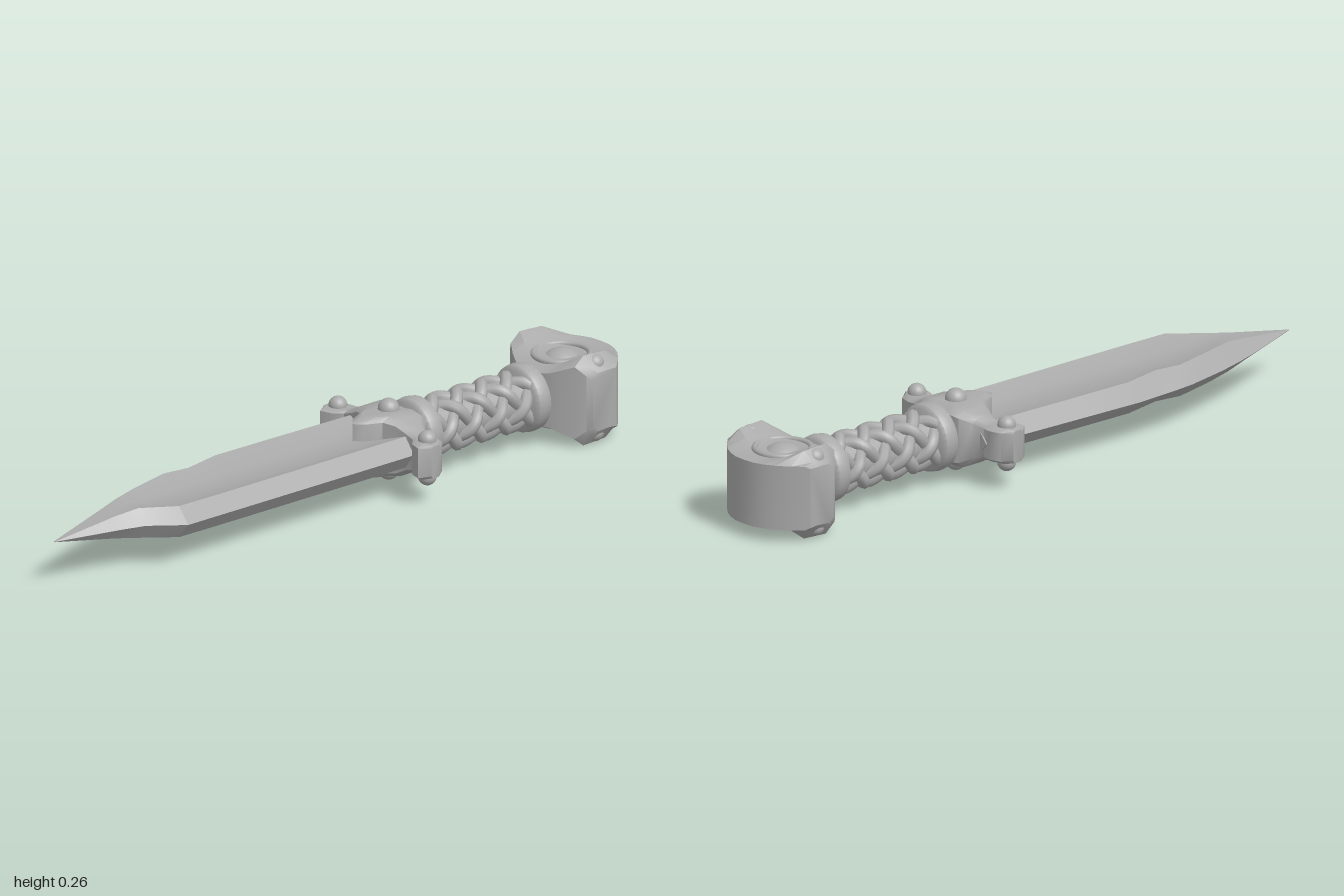
import * as THREE from 'three';
import { toCreasedNormals } from 'three/addons/utils/BufferGeometryUtils.js';

const MID = 0.13; // height of the dagger's axis

// Skin a series of rings, each counter-clockwise seen from the far end
function loft(rings, crease) {
  const n = rings[0].length, last = (rings.length - 1) * n, index = [];
  for (let i = 0; i < rings.length - 1; i++) {
    for (let j = 0; j < n; j++) {
      const a = i * n + j, b = i * n + (j + 1) % n;
      index.push(a, b, a + n, b, b + n, a + n);
    }
  }
  for (let j = 1; j < n - 1; j++) {
    index.push(0, j + 1, j, last, last + j, last + j + 1);
  }
  const g = new THREE.BufferGeometry();
  g.setAttribute('position', new THREE.Float32BufferAttribute(rings.flat(2), 3));
  g.setIndex(index);
  return toCreasedNormals(g, crease);
}

// Mirror half-profile rows [x, ...] onto the -x side
const mirrorRows = rows => [
  ...rows.slice(1).reverse().map(([x, ...r]) => [-x, ...r]), ...rows,
];

// Ring in the y-z plane from an upper outline running from back to front
const ringAtX = (x, upper) => [
  ...upper.map(([z, y]) => [x, MID + y, z]),
  ...[...upper].reverse().map(([z, y]) => [x, MID - y, z]),
];

class BraidCurve extends THREE.Curve {
  constructor(start, dir) {
    super();
    this.start = start;
    this.dir = dir;
  }
  getPoint(t, target = new THREE.Vector3()) {
    const turn = t * Math.PI * 2;
    const a = this.start + this.dir * turn;
    const r = 0.063 + this.dir * 0.009 * Math.cos(4 * turn);
    return target.set(r * Math.cos(a), MID + r * Math.sin(a), -0.695 + 0.36 * t);
  }
}

export function createModel() {
  const model = new THREE.Group();
  const steel = new THREE.MeshStandardMaterial({ color: 0xaaaaaa });
  steel.name = 'grey steel';
  const add = (name, geometry, x = 0, y = 0, z = 0) => {
    const mesh = new THREE.Mesh(geometry, steel);
    mesh.name = name;
    mesh.position.set(x, y, z);
    model.add(mesh);
    return mesh;
  };

  // Blade: z, left edge, left ridge, groove left, groove right, right ridge, right edge, half thickness, groove depth
  const blade = [
    [-0.25, -0.155, -0.115, -0.045, 0.045, 0.110, 0.145, 0.045, 0.020],
    [0.10, -0.168, -0.122, -0.040, 0.045, 0.110, 0.145, 0.045, 0.020],
    [0.30, -0.175, -0.125, -0.038, 0.042, 0.110, 0.145, 0.045, 0.020],
    [0.42, -0.168, -0.100, -0.035, 0.040, 0.110, 0.145, 0.045, 0.020],
    [0.50, -0.160, -0.112, -0.032, 0.038, 0.110, 0.145, 0.045, 0.019],
    [0.64, -0.130, -0.078, -0.026, 0.030, 0.108, 0.145, 0.045, 0.015],
    [0.73, -0.104, -0.052, -0.015, 0.015, 0.042, 0.073, 0.043, 0.004],
    [0.80, -0.080, -0.038, -0.010, 0.010, 0.026, 0.052, 0.032, 0],
    [1.00, -0.001, -0.001, 0, 0, 0.001, 0.001, 0.001, 0],
  ].map(([z, xl, rl, gl, gr, rr, xr, h, d]) => {
    const top = [[rr, h], [gr, h - d], [gl, h - d], [rl, h]];
    return [
      [xr, MID, z], ...top.map(([x, y]) => [x, MID + y, z]),
      [xl, MID, z], ...top.reverse().map(([x, y]) => [x, MID - y, z]),
    ];
  });
  add('blade', loft(blade, 0.5));

  // Guard: x, back z, front z, half height
  const guard = mirrorRows([
    [0, -0.290, -0.090, 0.087], [0.028, -0.290, -0.115, 0.087],
    [0.045, -0.290, -0.160, 0.086], [0.080, -0.285, -0.175, 0.080],
    [0.110, -0.258, -0.185, 0.062], [0.140, -0.245, -0.185, 0.051],
    [0.165, -0.248, -0.160, 0.051], [0.200, -0.238, -0.150, 0.051],
    [0.222, -0.212, -0.180, 0.046],
  ]).map(([x, zb, zf, h]) => {
    const c = (zf - zb) * 0.18;
    return ringAtX(x, [[zb, h * 0.8], [zb + c, h], [zf - c, h], [zf, h * 0.85]]);
  });
  add('guard', loft(guard, 0.75));

  // Pommel: x, back z, front z, half height
  const pommel = mirrorRows([
    [0, -1.000, -0.730, 0.092], [0.035, -0.998, -0.735, 0.093],
    [0.065, -0.988, -0.745, 0.097], [0.095, -0.972, -0.760, 0.112],
    [0.130, -0.944, -0.785, 0.130], [0.155, -0.918, -0.805, 0.100],
    [0.166, -0.905, -0.820, 0.085],
  ]).map(([x, zb, zf, h]) => {
    const s = zf - zb;
    return ringAtX(x, [
      [zb, Math.min(h, 0.092)], [zb + s * 0.3, h * 0.97],
      [zf - s * 0.2, h], [zf, h * 0.8],
    ]);
  });
  add('pommel', loft(pommel, 0.6));

  // Domed inlay showing on both faces of the pommel, each inside a rim
  add('pommelDome', new THREE.SphereGeometry(1, 32, 24), 0, MID, -0.855)
    .scale.set(0.085, 0.107, 0.085);
  for (const s of [1, -1]) {
    const rim = add('domeRim', new THREE.TorusGeometry(0.078, 0.009, 8, 32), 0, MID + s * 0.092, -0.855);
    rim.rotation.x = Math.PI / 2;
  }

  // Studs, on both faces
  const bead = new THREE.SphereGeometry(1, 20, 14);
  for (const s of [1, -1]) {
    for (const side of [1, -1]) {
      add('guardStud', bead, side * 0.182, MID + s * 0.053, -0.2).scale.setScalar(0.026);
      add('pommelStud', bead, side * 0.13, MID + s * 0.099, -0.857).scale.setScalar(0.027);
    }
    add('guardCentreStud', bead, 0, MID + s * 0.087, -0.222).scale.setScalar(0.03);
  }

  // Rounded collars at both ends of the grip
  const collarProfile = [
    [0, -0.028], [0.084, -0.028], [0.094, -0.02], [0.097, 0],
    [0.094, 0.02], [0.084, 0.028], [0, 0.028],
  ].map(p => new THREE.Vector2(...p));
  const collarShape = toCreasedNormals(new THREE.LatheGeometry(collarProfile, 32), 0.75);
  for (const z of [-0.318, -0.712]) {
    add('collar', collarShape, 0, MID, z).rotation.x = Math.PI / 2;
  }

  // Grip core wrapped in interwoven strands
  add('gripCore', new THREE.CylinderGeometry(0.064, 0.064, 0.4, 24), 0, MID, -0.515)
    .rotation.x = Math.PI / 2;
  for (const dir of [1, -1]) {
    for (let i = 0; i < 4; i++) {
      const path = new BraidCurve(i * Math.PI / 2 + Math.PI / 4, dir);
      add('gripStrand', new THREE.TubeGeometry(path, 72, 0.018, 8));
    }
  }
  return model;
}
